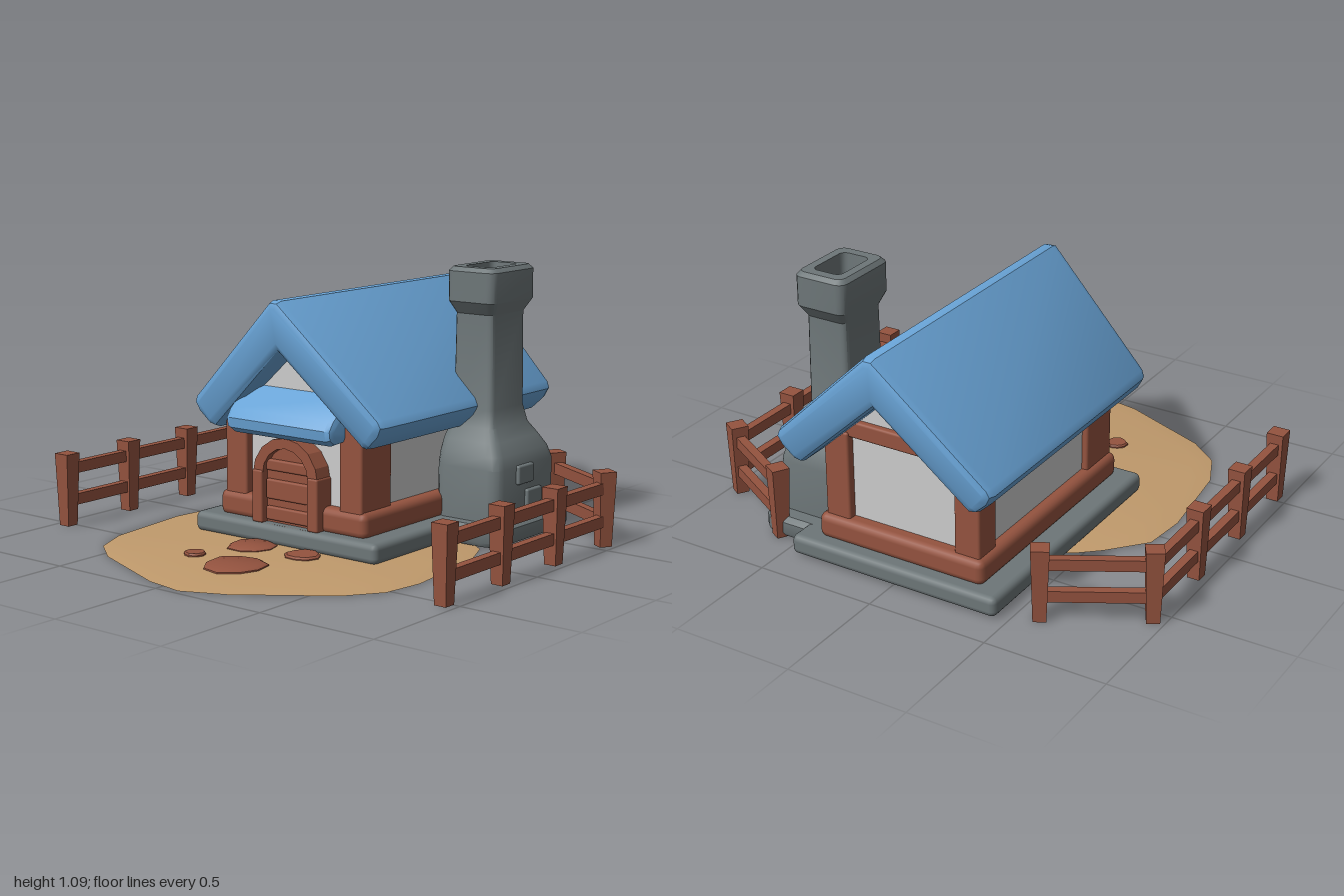
import * as THREE from 'three';
import { toCreasedNormals } from 'three/addons/utils/BufferGeometryUtils.js';
import { RoundedBoxGeometry } from 'three/addons/geometries/RoundedBoxGeometry.js';

const mat = (color) => new THREE.MeshStandardMaterial({ color });
const blue = mat(0x6aa5d8), wood = mat(0x94533f), stone = mat(0x6d7678), plaster = mat(0xcccccc);
const sand = mat(0xc09a6c);
sand.side = THREE.DoubleSide;

function add(parent, name, geometry, material, x = 0, y = 0, z = 0) {
  const mesh = new THREE.Mesh(geometry, material);
  mesh.name = name;
  mesh.position.set(x, y, z);
  parent.add(mesh);
  return mesh;
}

// rounded box given by its lower and upper corners
function block(parent, name, material, [x0, y0, z0], [x1, y1, z1], r = 0.01) {
  const g = new RoundedBoxGeometry(x1 - x0, y1 - y0, z1 - z0, 2, r);
  return add(parent, name, g, material, (x0 + x1) / 2, (y0 + y1) / 2, (z0 + z1) / 2);
}

const outline = (pts) => new THREE.Shape(pts.map((p) => new THREE.Vector2(...p)));

// extrusion from z = 0 to z = depth with a bevel kept inside the outline
function slab(shape, depth, bevel = 0, curveSegments = 5) {
  return new THREE.ExtrudeGeometry(shape, {
    depth: depth - 2 * bevel, bevelEnabled: bevel > 0, bevelThickness: bevel,
    bevelSize: bevel, bevelOffset: -bevel, bevelSegments: 2, curveSegments,
  }).translate(0, 0, bevel);
}

// skin over rings of [x, y, z] points, anticlockwise seen from above
function loft(rings, crease = 0.6) {
  const n = rings[0].length, index = [];
  for (let i = 0; i < rings.length - 1; i++) {
    for (let j = 0; j < n; j++) {
      const a = i * n + j, b = i * n + (j + 1) % n;
      index.push(a, b, b + n, a, b + n, a + n);
    }
  }
  const g = new THREE.BufferGeometry();
  g.setAttribute('position', new THREE.Float32BufferAttribute(rings.flat(2), 3));
  g.setIndex(index);
  return toCreasedNormals(g, crease);
}

// rounded rectangle ring at height y
function roundRect(y, cx, cz, w, d, r) {
  const pts = [];
  for (let c = 0; c < 4; c++) {
    const sx = c === 0 || c === 3 ? 1 : -1, sz = c < 2 ? -1 : 1;
    for (let k = 0; k < 4; k++) {
      const a = (c + k / 3) * Math.PI / 2;
      pts.push([cx + sx * (w / 2 - r) + r * Math.cos(a), y, cz + sz * (d / 2 - r) - r * Math.sin(a)]);
    }
  }
  return pts;
}

function buildGround(root) {
  const rim = [[0.715, 0.35], [0.67, -0.05], [0.6, -0.21], [0.35, -0.4], [0.05, -0.49], [-0.2, -0.45],
    [-0.475, -0.28], [-0.555, -0.21], [-0.685, -0.06], [-0.705, 0.13], [-0.66, 0.52], [-0.59, 0.68],
    [-0.46, 0.785], [-0.08, 0.945], [0.09, 0.975], [0.26, 0.9], [0.59, 0.66], [0.69, 0.52]];
  const ring = (s, y) => rim.map(([x, z]) => [x * s, y, 0.25 + (z - 0.25) * s]);
  add(root, 'ground', loft([ring(1, 0), ring(0.88, 0.011), ring(0, 0.016)], 1), sand);

  // stepping stones
  [[-0.09, 0.36, 0.1], [0.16, 0.35, 0.075], [-0.185, 0.585, 0.046], [0.05, 0.62, 0.128]].forEach(([x, z, r], i) => {
    const ringAt = (s, y) => Array.from({ length: 9 }, (_, k) => {
      const a = k * Math.PI * 2 / 9, q = r * s * (0.96 + 0.06 * Math.sin(k * 2.3 + i * 1.7));
      return [q * Math.cos(a), y, -q * Math.sin(a)];
    });
    add(root, 'steppingStone', loft([ringAt(0, 0.004), ringAt(1, 0.004), ringAt(1, 0.018),
      ringAt(0.88, 0.025), ringAt(0, 0.025)]), wood, x, 0, z);
  });
}

function buildHouse(root) {
  const house = new THREE.Group();
  house.name = 'house';
  root.add(house);

  block(house, 'foundation', stone, [-0.46, 0.008, -0.865], [0.46, 0.09, 0.285], 0.025);
  block(house, 'sillBeam', wood, [-0.37, 0.08, -0.805], [0.37, 0.185, 0.235], 0.03);

  // walls with both gables
  const wall = outline([[-0.32, 0.1], [0.32, 0.1], [0.32, 0.52], [0, 0.81], [-0.32, 0.52]]);
  add(house, 'walls', slab(wall, 0.93), plaster, 0, 0, -0.745);

  // corner posts and tie beams
  for (const s of [-1, 1]) {
    const x0 = s * 0.29 - 0.055, x1 = s * 0.29 + 0.055;
    block(house, 'frontPost', wood, [x0, 0.16, 0.03], [x1, 0.55, 0.222]);
    block(house, 'backPost', wood, [x0, 0.16, -0.78], [x1, 0.55, -0.66]);
  }
  block(house, 'frontTieBeam', wood, [-0.26, 0.52, 0.15], [0.26, 0.59, 0.205]);
  block(house, 'backTieBeam', wood, [-0.26, 0.53, -0.77], [0.26, 0.6, -0.7]);

  // chevron roof whose ends overhang further towards the ridge
  const half = [[0.02, 0.985], [0.462, 0.565], [0.475, 0.535], [0.455, 0.495], [0.405, 0.448], [0.37, 0.44]];
  const chevron = outline([...half, [0, 0.78], ...half.map(([x, y]) => [-x, y]).reverse()]);
  const roof = slab(chevron, 1, 0.03);
  const p = roof.attributes.position;
  for (let i = 0; i < p.count; i++) {
    const t = (p.getY(i) - 0.44) / 0.545;
    p.setZ(i, THREE.MathUtils.lerp(-0.9 - 0.08 * t, 0.26 + 0.085 * t, p.getZ(i)));
  }
  add(house, 'roof', toCreasedNormals(roof, 0.7), blue);

  // small sloping roof above the door, profile in (-z, y)
  const awning = outline([[-0.16, 0.45], [-0.16, 0.63], [-0.21, 0.615], [-0.295, 0.54], [-0.318, 0.505],
    [-0.312, 0.465], [-0.28, 0.442]].reverse());
  add(house, 'doorRoof', toCreasedNormals(slab(awning, 0.53, 0.025).rotateY(Math.PI / 2), 0.7), blue, -0.265);

  buildDoor(house);
}

function arch(target, r, y0, yc) {
  target.moveTo(-r, y0);
  target.lineTo(r, y0);
  target.lineTo(r, yc);
  target.absarc(0, yc, r, 0, Math.PI, false);
  target.lineTo(-r, y0);
  return target;
}

function buildDoor(house) {
  const door = new THREE.Group();
  door.name = 'door';
  house.add(door);
  const frame = arch(new THREE.Shape(), 0.165, 0.088, 0.277);
  frame.holes.push(arch(new THREE.Path(), 0.115, 0.089, 0.285));
  add(door, 'doorFrame', slab(frame, 0.1, 0, 4), wood, 0, 0, 0.165);
  add(door, 'doorPanel', slab(arch(new THREE.Shape(), 0.12, 0.09, 0.285), 0.07, 0, 4), wood, 0, 0, 0.165);
  [[0.1, 0.155], [0.185, 0.265], [0.3, 0.345]].forEach(([y0, y1]) =>
    block(door, 'doorPlank', wood, [-0.112, y0, 0.2], [0.112, y1, 0.25], 0.008));
  for (const s of [-1, 1]) {
    block(door, 'doorJamb', wood, [s * 0.14 - 0.026, 0.088, 0.17], [s * 0.14 + 0.026, 0.3, 0.272], 0.008);
  }
}

function buildChimney(root) {
  const chimney = new THREE.Group();
  chimney.name = 'chimney';
  root.add(chimney);
  // plinth
  const plinth = (y, s) => roundRect(y, 0.46, -0.49, 0.43 - s, 0.57 - s, 0.07 - s / 2);
  add(chimney, 'chimneyPlinth', loft([roundRect(0.008, 0.46, -0.49, 0, 0, 0), plinth(0.008, 0.02),
    plinth(0.025, 0), plinth(0.07, 0), plinth(0.09, 0.04), roundRect(0.09, 0.46, -0.49, 0, 0, 0)]), stone);

  // body, flue cap and hollow top: y, x min, x max, depth, corner radius
  const rows = [[0.08, 0.33, 0.635, 0.43, 0.05], [0.3, 0.33, 0.635, 0.43, 0.05], [0.35, 0.33, 0.62, 0.405, 0.05],
    [0.4, 0.33, 0.59, 0.35, 0.045], [0.45, 0.34, 0.557, 0.28, 0.035], [0.52, 0.35, 0.54, 0.243, 0.025],
    [0.9, 0.355, 0.536, 0.24, 0.025], [0.95, 0.335, 0.562, 0.31, 0.035], [1.07, 0.335, 0.562, 0.31, 0.035],
    [1.087, 0.35, 0.547, 0.28, 0.03], [1.087, 0.385, 0.512, 0.2, 0.025], [0.97, 0.39, 0.507, 0.19, 0.025],
    [0.97, 0.448, 0.448, 0, 0]];
  add(chimney, 'chimneyStack', loft(rows.map(([y, a, b, d, r]) =>
    roundRect(y, (a + b) / 2, -0.485, b - a, d, r))), stone);

  // raised bricks
  block(chimney, 'brick', stone, [0.58, 0.228, -0.515], [0.65, 0.305, -0.405], 0.008);
  block(chimney, 'brick', stone, [0.58, 0.12, -0.575], [0.65, 0.2, -0.47], 0.008);
}

function buildFence(root, side) {
  const fence = new THREE.Group();
  fence.name = side > 0 ? 'leftFence' : 'rightFence';
  root.add(fence);
  // post x, z and turn
  const posts = [[0.947, 0.522, 0], [0.947, 0.165, 0], [0.947, -0.195, 0], [0.95, -0.555, 0.55], [0.59, -0.76, 0.52]];
  posts.forEach(([x, z, turn], i) => {
    const g = new THREE.CylinderGeometry(0.05, 0.036, 0.302, 4).rotateY(Math.PI / 4);
    const post = add(fence, 'fencePost', g.toNonIndexed(), wood, side * x, 0.152, z);
    post.geometry.computeVertexNormals();
    post.rotation.y = -side * turn;
    if (i === 0) return;
    const [px, pz] = posts[i - 1], dx = side * (x - px), dz = z - pz;
    for (const y of [0.105, 0.238]) {
      const rail = add(fence, 'fenceRail', new THREE.BoxGeometry(0.036, 0.046, Math.hypot(dx, dz)), wood,
        side * (x + px) / 2, y, (z + pz) / 2);
      rail.rotation.y = Math.atan2(dx, dz);
    }
  });
}

export function createModel() {
  const root = new THREE.Group();
  root.name = 'cottage';
  buildGround(root);
  buildHouse(root);
  buildChimney(root);
  buildFence(root, 1);
  buildFence(root, -1);
  return root;
}
